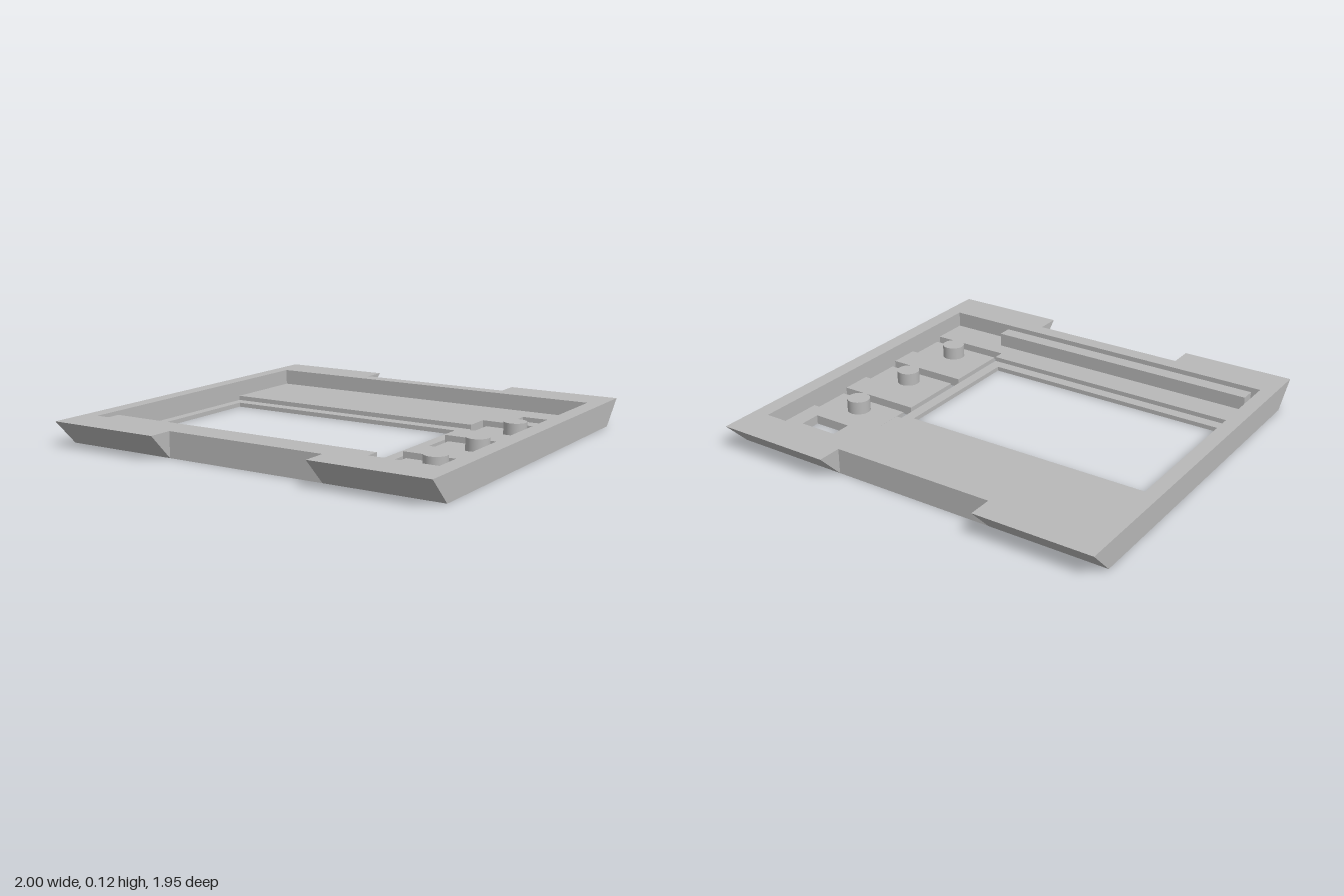
import * as THREE from 'three';

export function createModel() {
  const group = new THREE.Group();
  const grey = new THREE.MeshStandardMaterial({ color: 0xb8b8b8 });
  const add = (name, geometry) => {
    const mesh = new THREE.Mesh(geometry, grey);
    mesh.name = name;
    group.add(mesh);
    return mesh;
  };
  const vectors = (pts) => pts.map(([a, b]) => new THREE.Vector2(a, b));
  const rect = (x0, x1, z0, z1) => [[x0, z0], [x1, z0], [x1, z1], [x0, z1]];

  // Horizontal plate from an (x, z) outline with holes, between two heights
  const plate = (name, outline, holes, y0, y1) => {
    const shape = new THREE.Shape(vectors(outline));
    shape.holes = holes.map((h) => new THREE.Path(vectors(h)));
    const geo = new THREE.ExtrudeGeometry(shape, { depth: y1 - y0, bevelEnabled: false });
    return add(name, geo.rotateX(Math.PI / 2).translate(0, y1, 0));
  };

  const H = 0.125, FLOOR = 0.045, THIN = 0.022;
  const inX0 = -0.925, inX1 = 0.92, bayX = 0.5, tabX = 0.53;
  const body = rect(-1, 1, -0.855, 0.855);
  const slot = rect(0.635, 0.832, -0.642, -0.538);
  const tabs = [-0.338, 0.061, 0.46];
  const bayHalf = 0.122, tabHalf = 0.098;

  // U-shaped slits that free the button tabs
  const slits = tabs.map((z) => [
    [inX1, z - bayHalf], [bayX, z - bayHalf], [bayX, z + bayHalf], [inX1, z + bayHalf],
    [inX1, z + tabHalf], [tabX, z + tabHalf], [tabX, z - tabHalf], [inX1, z - tabHalf],
  ]);
  // Small engraved arrows under two of the tabs
  const arrows = [[tabs[1], -1], [tabs[2], 1]].map(([z, s]) =>
    [[0.7, z - 0.02 * s], [0.765, z - 0.02 * s], [0.7325, z + 0.03 * s]]);

  // Bottom skin with display window, slot and tabs
  plate('bottomPanel', body,
    [rect(-0.875, 0.445, -0.266, 0.468), slot, ...slits, ...arrows], 0, THIN);

  // Thicker floor, stepped down around the display and the tab bays
  const recess = [[inX0, 0.525], [inX0, -0.33], [bayX, -0.33]];
  tabs.forEach((z) => recess.push(
    [bayX, z - bayHalf], [inX1, z - bayHalf], [inX1, z + bayHalf], [bayX, z + bayHalf]));
  recess.splice(3, 1, [bayX, tabs[0] - bayHalf]);
  recess.push([bayX, 0.525]);
  // The last bay overhangs the display step, so the outline returns along its edge
  plate('raisedFloor', body, [recess, slot], THIN, FLOOR);

  // Upright rim around the tray
  plate('rim', body, [rect(inX0, inX1, -0.78, 0.775)], FLOOR, H);

  // Sloping corner flanges, front and back
  for (const s of [-1, 1]) {
    for (const [side, x0] of [['right', -1], ['left', 0.413]]) {
      const shape = new THREE.Shape(vectors([[-s * 0.855, 0], [-s * 0.977, H], [-s * 0.855, H]]));
      const geo = new THREE.ExtrudeGeometry(shape, { depth: 0.587, bevelEnabled: false });
      add(`${side}${s > 0 ? 'Front' : 'Back'}Flange`, geo.rotateY(Math.PI / 2).translate(x0, 0, 0));
    }
  }

  // Button pins
  tabs.forEach((z, i) => {
    const pin = add(`buttonPin${i + 1}`, new THREE.CylinderGeometry(0.057, 0.057, 0.065, 32));
    pin.position.set(0.733, THIN + 0.0325, z);
  });

  // Long retaining bar behind the front wall
  const bar = add('retainingBar', new THREE.BoxGeometry(1.455, 0.07, 0.075));
  bar.position.set(-0.1625, FLOOR + 0.035, 0.708);

  return group;
}
